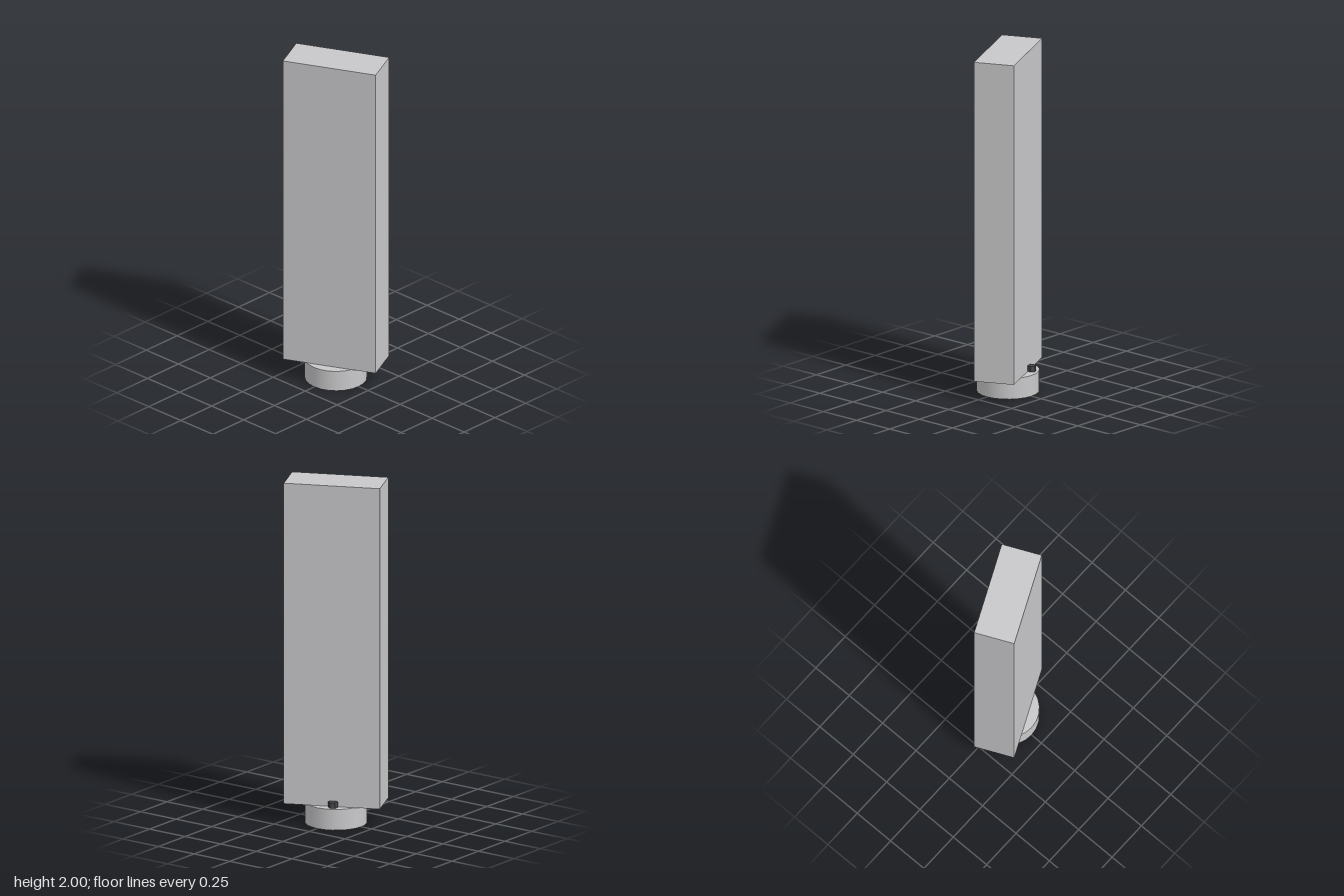
import * as THREE from 'three';

export function createModel() {
  const model = new THREE.Group();
  const grey = new THREE.MeshStandardMaterial({ color: 0xc8c8ca });
  grey.name = 'light grey';
  const dark = new THREE.MeshStandardMaterial({ color: 0x48484a });
  dark.name = 'dark grey';

  const add = (name, geometry, material, x, y, z) => {
    const mesh = new THREE.Mesh(geometry, material);
    mesh.name = name;
    mesh.position.set(x, y, z);
    model.add(mesh);
    return mesh;
  };

  const baseHeight = 0.122;

  // Round foot
  add('base', new THREE.CylinderGeometry(0.177, 0.177, baseHeight, 24), grey, 0, baseHeight / 2, 0);

  // Tall slab, turned on the foot
  const slabHeight = 2 - baseHeight;
  const slab = add('slab', new THREE.BoxGeometry(0.552, slabHeight, 0.235), grey, 0, baseHeight + slabHeight / 2, 0);
  slab.rotation.y = THREE.MathUtils.degToRad(25);

  // Small hexagonal peg on the foot behind the slab
  const pegHeight = 0.033;
  const pegGeometry = new THREE.CylinderGeometry(0.027, 0.027, pegHeight, 6).toNonIndexed();
  pegGeometry.computeVertexNormals();
  add('peg', pegGeometry, dark, -0.067, baseHeight + pegHeight / 2, -0.118);

  return model;
}
